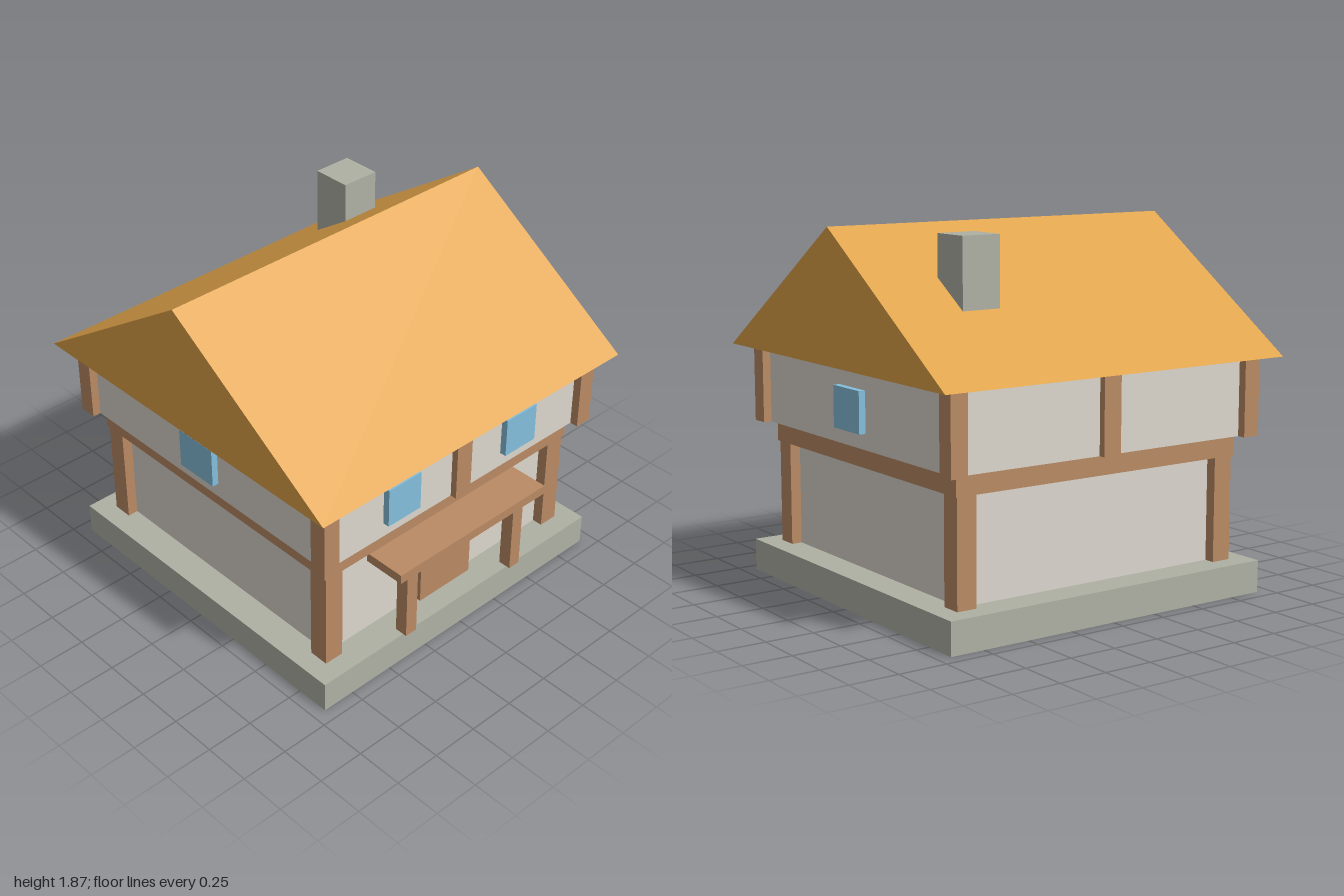
import * as THREE from 'three';

const makeMaterial = (name, color, side = THREE.FrontSide) => {
  const m = new THREE.MeshStandardMaterial({ color, side });
  m.name = name;
  return m;
};

export function createModel() {
  const house = new THREE.Group();
  house.name = 'house';

  const stone = makeMaterial('stone grey', 0xb0b1a4, THREE.DoubleSide);
  const plaster = makeMaterial('plaster', 0xdcd7ce);
  const timber = makeMaterial('timber brown', 0xba8b65);
  const thatch = makeMaterial('roof orange', 0xdfa249);
  const glass = makeMaterial('window blue', 0x85bfdd);

  // Box given by its lower and upper limits on each axis
  const box = (name, material, [x0, x1], [y0, y1], [z0, z1]) => {
    const geometry = new THREE.BoxGeometry(x1 - x0, y1 - y0, z1 - z0);
    geometry.translate((x0 + x1) / 2, (y0 + y1) / 2, (z0 + z1) / 2);
    const mesh = new THREE.Mesh(geometry, material);
    mesh.name = name;
    house.add(mesh);
    return mesh;
  };
  const span = (h) => [-h, h];
  const around = (c, h) => [c - h, c + h];

  // Stone base, hollow and open underneath
  const base = box('base', stone, span(0.93), [0, 0.165], span(0.93));
  const faces = Array.from(base.geometry.index.array);
  faces.splice(18, 6);
  base.geometry.setIndex(faces);
  base.geometry.clearGroups();

  // Storeys and the beam between them
  box('lowerWalls', plaster, span(0.77), [0.165, 0.7], span(0.77));
  box('floorBeam', timber, span(0.835), [0.7, 0.805], span(0.835));
  box('upperWalls', plaster, span(0.875), [0.805, 1.205], span(0.875));

  for (const sx of [-1, 1]) {
    // Corner posts of both storeys
    for (const sz of [-1, 1]) {
      box('lowerPost', timber, around(sx * 0.773, 0.053), [0.165, 0.7], around(sz * 0.773, 0.053));
      box('upperPost', timber, around(sx * 0.873, 0.046), [0.805, 1.205], around(sz * 0.873, 0.046));
    }
    // Front and side windows
    box('frontWindow', glass, around(sx * 0.4, 0.105), [0.885, 1.095], [0.87, 0.91]);
    box('sideWindow', glass, around(sx * 0.89, 0.02), [0.885, 1.095], span(0.12));
    // Porch posts
    box('porchPost', timber, around(sx * 0.373, 0.035), [0.165, 0.59], [0.88, 0.95]);
  }

  // Middle posts at the front and back
  for (const sz of [-1, 1]) {
    box('middlePost', timber, span(0.05), [0.805, 1.205], around(sz * 0.885, 0.025));
  }

  // Entrance
  box('porchRoof', timber, span(0.505), [0.59, 0.64], [0.765, 1]);
  box('door', timber, span(0.175), [0.165, 0.56], [0.76, 0.815]);

  // Gable roof with its ridge along x
  const gable = new THREE.Shape([
    new THREE.Vector2(-1, 1.205),
    new THREE.Vector2(1, 1.205),
    new THREE.Vector2(0, 1.87),
  ]);
  const roofGeometry = new THREE.ExtrudeGeometry(gable, { depth: 2, bevelEnabled: false });
  roofGeometry.translate(0, 0, -1).rotateY(Math.PI / 2);
  const roof = new THREE.Mesh(roofGeometry, thatch);
  roof.name = 'roof';
  house.add(roof);

  box('chimney', stone, [0.4, 0.61], [1.3, 1.845], [-0.56, -0.35]);

  return house;
}
